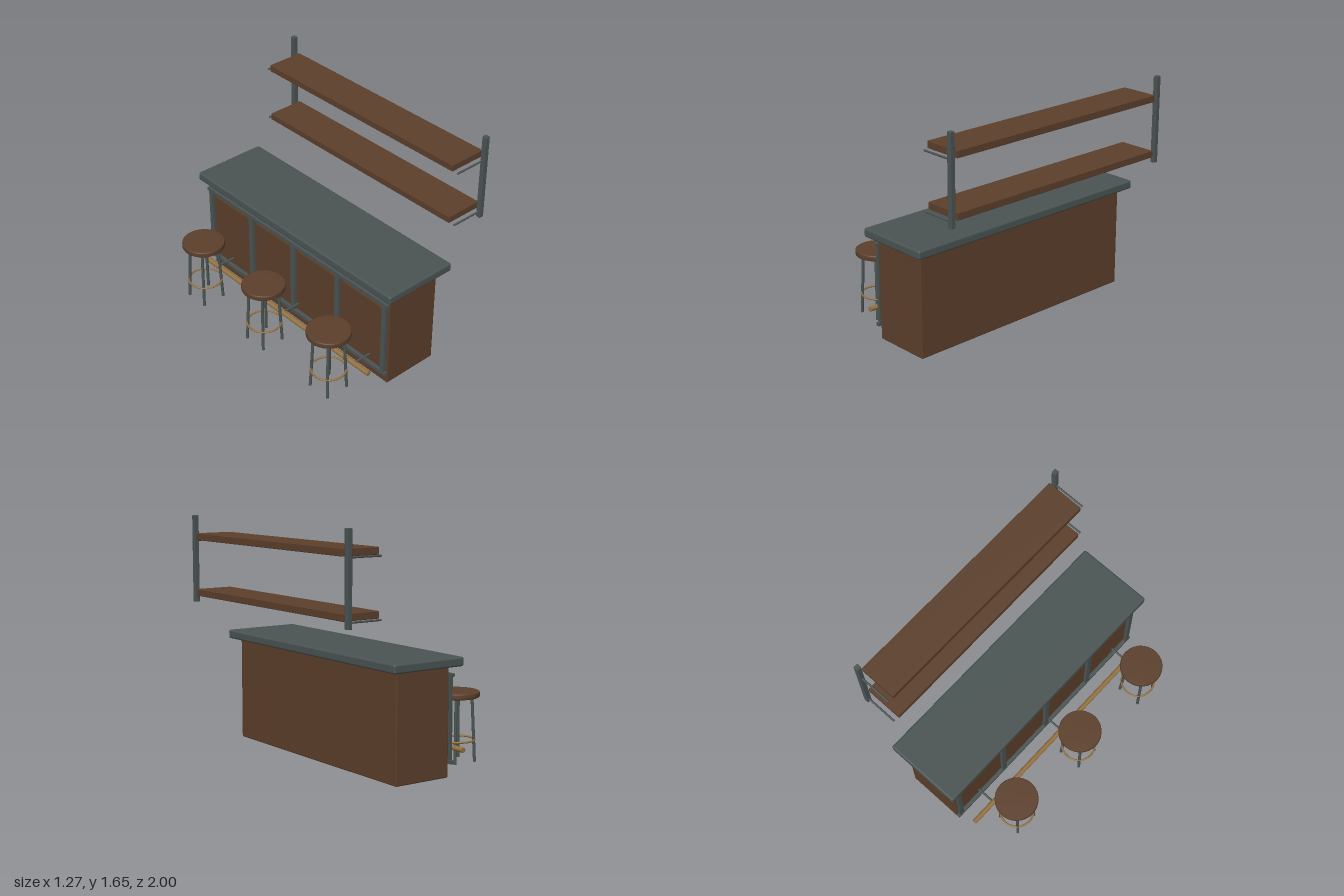
import * as THREE from 'three';
import { RoundedBoxGeometry } from 'three/addons/geometries/RoundedBoxGeometry.js';

function material(name, color) {
  const m = new THREE.MeshStandardMaterial({ color });
  m.name = name;
  return m;
}

export function createModel() {
  const wood = material('brown wood', 0x5c3f2b);
  const steel = material('grey steel', 0x4a5453);
  const brass = material('brass', 0x94713f);
  const model = new THREE.Group();
  model.name = 'barCounterSet';

  const group = (name) => {
    const g = new THREE.Group();
    g.name = name;
    model.add(g);
    return g;
  };
  const add = (parent, name, geometry, mat) => {
    const mesh = new THREE.Mesh(geometry, mat);
    mesh.name = name;
    parent.add(mesh);
    return mesh;
  };
  // Box given by its limits on each axis, with an optional rounded edge
  const box = (parent, name, mat, [x0, x1], [y0, y1], [z0, z1], r = 0) => {
    const size = [x1 - x0, y1 - y0, z1 - z0];
    const geo = r ? new RoundedBoxGeometry(...size, 2, r) : new THREE.BoxGeometry(...size);
    const mesh = add(parent, name, geo, mat);
    mesh.position.set((x0 + x1) / 2, (y0 + y1) / 2, (z0 + z1) / 2);
    return mesh;
  };
  // Round bar between two points
  const bar = (parent, name, mat, from, to, r, sides = 12) => {
    const a = new THREE.Vector3(...from);
    const b = new THREE.Vector3(...to);
    const mesh = add(parent, name, new THREE.CylinderGeometry(r, r, a.distanceTo(b), sides), mat);
    mesh.position.copy(a).lerp(b, 0.5);
    mesh.quaternion.setFromUnitVectors(new THREE.Vector3(0, 1, 0), b.sub(a).normalize());
    return mesh;
  };

  // Counter body and worktop
  const counter = group('counter');
  box(counter, 'counterBody', wood, [-0.165, 0.265], [0, 0.745], [-0.932, 0.935], 0.008);
  box(counter, 'worktop', steel, [-0.235, 0.335], [0.74, 0.803], [-1, 1], 0.014);

  // Framed panels on the customer side
  const frame = group('panelFrame');
  for (const y of [0.1, 0.677]) {
    box(frame, 'frameRail', steel, [-0.203, -0.177], [y - 0.012, y + 0.012], [-0.943, 0.945]);
  }
  for (let i = 0; i < 5; i++) {
    const z = -0.908 + i * 0.455;
    box(frame, 'framePost', steel, [-0.201, -0.178], [0.112, 0.665], [z - 0.019, z + 0.019]);
    if (i < 4) {
      box(frame, 'panel', wood, [-0.177, -0.16], [0.17, 0.62], [z + 0.03, z + 0.425]);
    }
  }

  // Foot rail with its brackets
  const footRail = group('footRail');
  bar(footRail, 'rail', brass, [-0.318, 0.157, -0.905], [-0.318, 0.157, 0.91], 0.018, 20);
  for (const z of [-0.705, 0.03, 0.765]) {
    bar(footRail, 'railBracket', steel, [-0.318, 0.157, z], [-0.16, 0.157, z], 0.008);
  }

  // Shelves on two uprights
  const shelving = group('shelving');
  const shelfBases = [1.08, 1.48];
  for (const y of shelfBases) {
    box(shelving, 'shelf', wood, [0.355, 0.635], [y, y + 0.049], [-0.867, 0.933], 0.004);
  }
  for (const z of [-0.903, 0.968]) {
    box(shelving, 'shelfUpright', steel, [0.6, 0.635], [1.035, 1.655], [z - 0.017, z + 0.017], 0.003);
    for (const y of shelfBases) {
      bar(shelving, 'shelfArm', steel, [0.368, y - 0.003, z], [0.61, y - 0.003, z], 0.007);
    }
  }

  // Three stools with splayed legs and a brass foot ring
  const seatProfile = [[0, 0.46], [0.146, 0.46], [0.151, 0.463], [0.153, 0.468],
    [0.153, 0.492], [0.151, 0.498], [0.146, 0.501], [0, 0.501]]
    .map(([x, y]) => new THREE.Vector2(x, y));
  for (const z of [-0.638, 0.03, 0.698]) {
    const stool = group('stool');
    stool.position.set(-0.487, 0, z);
    add(stool, 'seat', new THREE.LatheGeometry(seatProfile, 40), wood);
    for (const sx of [-1, 1]) {
      for (const sz of [-1, 1]) {
        bar(stool, 'leg', steel, [sx * 0.087, 0.012, sz * 0.087], [sx * 0.071, 0.465, sz * 0.071], 0.0105);
      }
    }
    const ring = add(stool, 'footRing', new THREE.TorusGeometry(0.121, 0.007, 10, 40), brass);
    ring.rotation.x = Math.PI / 2;
    ring.position.y = 0.164;
  }

  return model;
}
